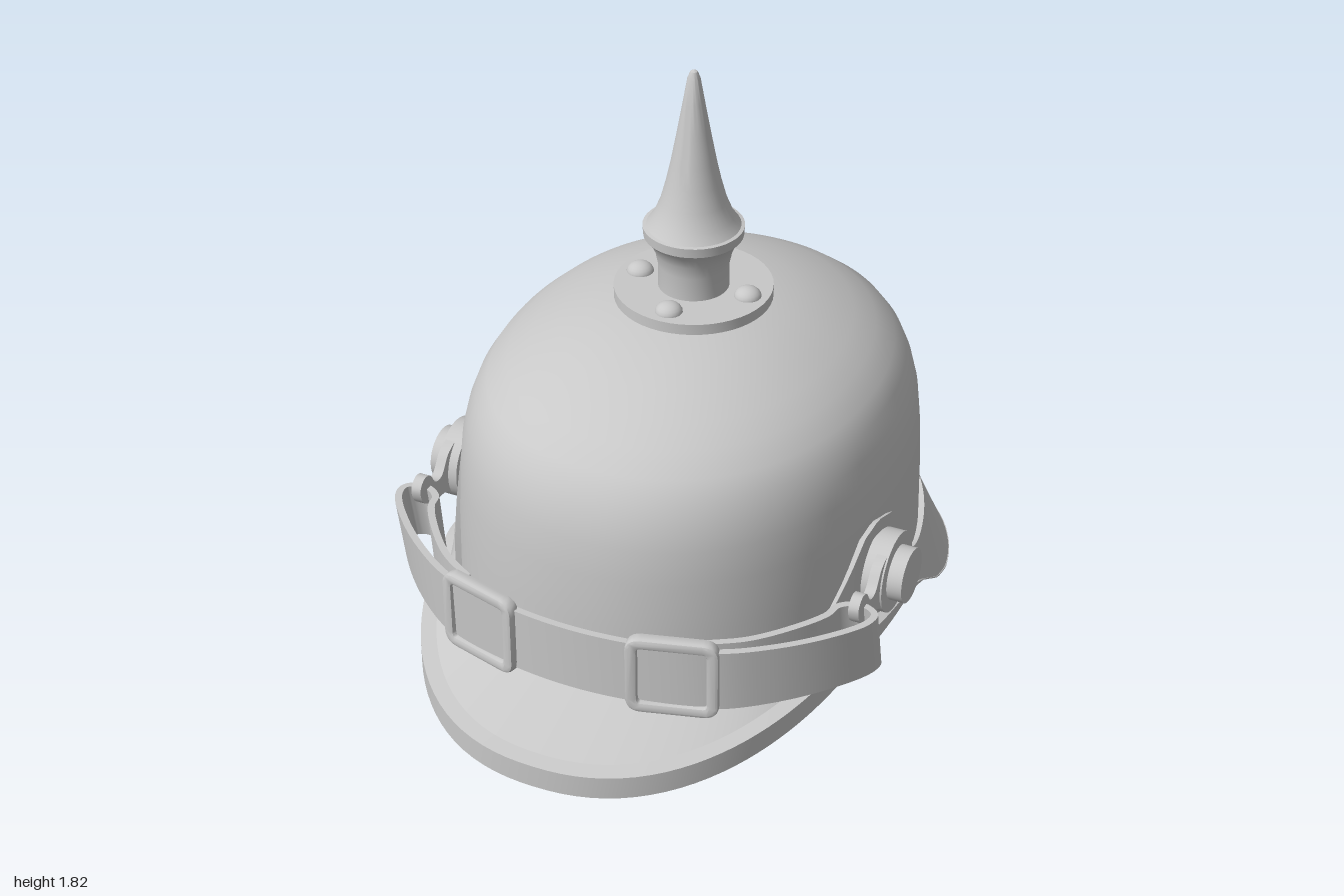
import * as THREE from 'three';
import { toCreasedNormals } from 'three/addons/utils/BufferGeometryUtils.js';

const steel = new THREE.MeshStandardMaterial({ color: 0xc8c8c8 });
steel.name = 'grey steel';

const SEG = 160;
const CZ = -0.045; // centre line of the dome and spike

// Piecewise-linear lookup in a table of [key, value] pairs
function lookup(table, k) {
  if (k <= table[0][0]) return table[0][1];
  for (let i = 1; i < table.length; i++) {
    const [k0, v0] = table[i - 1], [k1, v1] = table[i];
    if (k <= k1) return v0 + (v1 - v0) * (k - k0) / (k1 - k0);
  }
  return table[table.length - 1][1];
}

// Point on a squarish oval outline, in direction phi
function oval(phi, a, front, back, nFront, nBack) {
  const c = Math.cos(phi), s = Math.sin(phi);
  const b = s > 0 ? front : back, n = s > 0 ? nFront : nBack;
  const r = Math.pow(Math.pow(Math.abs(c) / a, n) + Math.pow(Math.abs(s) / b, n), -1 / n);
  return [r * c, CZ + r * s];
}

// Ring of points from a function of direction
function ring(fn) {
  return Array.from({ length: SEG }, (_, j) => fn(j / SEG * Math.PI * 2));
}

// Smooth skin through closed rings, facing out when the rings rise
function skin(rings) {
  const index = [];
  for (let i = 0; i < rings.length - 1; i++) {
    for (let j = 0; j < SEG; j++) {
      const k = (j + 1) % SEG;
      const a = i * SEG + j, b = i * SEG + k, c = a + SEG, d = b + SEG;
      index.push(a, c, b, b, c, d);
    }
  }
  const g = new THREE.BufferGeometry();
  g.setAttribute('position', new THREE.Float32BufferAttribute(rings.flat(2), 3));
  g.setIndex(index);
  g.computeVertexNormals();
  return g;
}

function add(parent, name, geometry) {
  const mesh = new THREE.Mesh(geometry, steel);
  mesh.name = name;
  parent.add(mesh);
  return mesh;
}

function lathe(points, segments = 40) {
  const g = new THREE.LatheGeometry(points.map(p => new THREE.Vector2(...p)), segments);
  return toCreasedNormals(g, 0.6);
}

function roundedRect(path, w, h, r) {
  path.moveTo(-w + r, -h);
  path.lineTo(w - r, -h).quadraticCurveTo(w, -h, w, -h + r);
  path.lineTo(w, h - r).quadraticCurveTo(w, h, w - r, h);
  path.lineTo(-w + r, h).quadraticCurveTo(-w, h, -w, h - r);
  path.lineTo(-w, -h + r).quadraticCurveTo(-w, -h, -w + r, -h);
  return path;
}

// Dome: outer and inner walls joined by a bottom edge
function buildDome(group) {
  const profile = [[0.265, 1], [0.5, 0.995], [0.65, 0.985], [0.75, 0.97], [0.82, 0.945], [0.88, 0.91],
    [0.93, 0.86], [0.98, 0.775], [1.02, 0.68], [1.06, 0.56], [1.09, 0.44], [1.115, 0.3], [1.127, 0.15], [1.13, 0.001]];
  const wall = (y, s, a, b) => ring(p => {
    const [x, z] = oval(p, a * s, b * s, b * s, 2.15, 2.12);
    return [x, y, z];
  });
  const outer = profile.map(([y, s]) => wall(y, s, 0.635, 0.768));
  const inner = profile.map(([y, s]) => wall(y - (1 - s) * 0.05, s, 0.582, 0.708)).reverse();
  add(group, 'domeOuter', skin(outer));
  add(group, 'domeInner', skin(inner));
  add(group, 'domeBottomEdge', skin([inner[inner.length - 1], outer[0]]));
}

// Brim: visor in front, raised ear flaps at the sides, neck guard behind
function buildBrim(group) {
  const bottomY = [[-1, 0], [-0.85, 0.005], [-0.7, 0.014], [-0.5, 0.055], [-0.36, 0.115], [-0.26, 0.18],
    [-0.2, 0.218], [-0.14, 0.238], [-0.07, 0.248], [0.25, 0.248], [1, 0.13]];
  const topY = [[-0.84, 0.33], [-0.25, 0.33], [-0.18, 0.345], [-0.12, 0.39], [-0.07, 0.48], [-0.03, 0.555],
    [0.03, 0.61], [0.12, 0.635], [0.19, 0.61], [0.25, 0.53], [0.3, 0.47], [0.36, 0.4], [0.42, 0.335], [0.75, 0.29]];
  const rimHeight = [[-0.2, 0.004], [0.3, 0.065], [1, 0.07]];
  // The rim's flat top narrows away towards the neck guard
  const edge = (inset, rim, crease = 0) => ring(p => {
    const [, zo] = oval(p, 0.67, 1.045, 0.955, 2.25, 2.75);
    const height = lookup(rimHeight, zo), d = inset + crease * height;
    const [x, z] = oval(p, 0.67 - d, 1.045 - d, 0.955 - d, 2.25, 2.75);
    return [x, lookup(bottomY, zo) + (rim + crease * 0.2) * height, z];
  });
  const attach = (inset, drop) => ring(p => {
    const [, zo] = oval(p, 0.65, 0.79, 0.795, 2.15, 2.12);
    const [x, z] = oval(p, 0.65 - inset, 0.79 - inset, 0.795 - inset, 2.15, 2.12);
    return [x, lookup(topY, zo) - drop, z];
  });
  const loops = [edge(0, 0), edge(0, 1), edge(0, 1, 0.65), attach(0, 0), attach(0.04, 0.03),
    edge(0.035, 0.1), edge(0, 0)];
  const names = ['brimOuterEdge', 'brimRimTop', 'brimTop', 'brimUpperLip', 'brimUnderside', 'brimBottomEdge'];
  names.forEach((name, i) => add(group, name, skin([loops[i], loops[i + 1]])));
}

// Spike on a riveted round base
function buildSpike(group) {
  const spike = new THREE.Group();
  spike.name = 'spike';
  spike.position.z = CZ;
  group.add(spike);
  add(spike, 'spikeBase', lathe([[0, 1.118], [0.224, 1.118], [0.224, 1.15], [0, 1.15]], 48));
  add(spike, 'spikeShaft', lathe([[0.1, 1.14], [0.1, 1.22], [0.108, 1.26], [0.122, 1.292], [0.14, 1.312],
    [0.142, 1.34], [0.132, 1.342], [0.112, 1.37], [0.092, 1.42], [0.076, 1.48], [0.063, 1.54], [0.046, 1.63],
    [0.03, 1.72], [0.018, 1.79], [0.01, 1.81], [0, 1.815]]));
  for (let i = 0; i < 4; i++) {
    const a = i * Math.PI / 2;
    const rivet = add(spike, 'rivet', new THREE.SphereGeometry(0.039, 20, 12));
    rivet.scale.y = 0.75;
    rivet.position.set(0.165 * Math.cos(a), 1.148, 0.165 * Math.sin(a));
  }
}

// Chin strap: a band looped back on itself at both ends
function buildStrap(group) {
  const half = [[0.36, 0.672], [0.46, 0.605], [0.55, 0.505], [0.612, 0.41], [0.625, 0.36], [0.68, 0.325],
    [0.728, 0.345], [0.725, 0.39], [0.65, 0.495], [0.53, 0.61], [0.4, 0.695], [0.2, 0.748]];
  const path = [...half, [0, 0.766], ...half.map(([x, z]) => [-x, z]).reverse()];
  const curve = new THREE.CatmullRomCurve3(path.map(([x, z]) => new THREE.Vector3(x, z, 0)), false, 'centripetal');
  const left = [], right = [];
  for (let i = 0; i <= 140; i++) {
    const p = curve.getPoint(i / 140), t = curve.getTangent(i / 140);
    left.push(new THREE.Vector2(p.x - t.y * 0.01, p.y + t.x * 0.01));
    right.push(new THREE.Vector2(p.x + t.y * 0.01, p.y - t.x * 0.01));
  }
  const g = new THREE.ExtrudeGeometry(new THREE.Shape([...left, ...right.reverse()]), { depth: 0.195, bevelEnabled: false });
  g.rotateX(Math.PI / 2).translate(0, 0.508, 0);
  // Lean the looped ends forward at the top
  const pos = g.attributes.position;
  for (let i = 0; i < pos.count; i++) {
    const lean = Math.pow(Math.abs(pos.getX(i)) / 0.735, 3) * 0.22;
    pos.setZ(i, pos.getZ(i) + (pos.getY(i) - 0.41) * lean);
  }
  add(group, 'chinStrap', toCreasedNormals(g, 0.7));
}

// Buckle and side fitting for one side (s = 1 left, -1 right)
function buildSide(group, s) {
  const frame = roundedRect(new THREE.Shape(), 0.12, 0.114, 0.035);
  frame.holes.push(roundedRect(new THREE.Path(), 0.104, 0.1, 0.022));
  const g = new THREE.ExtrudeGeometry(frame, { depth: 0.022, bevelEnabled: true, bevelSize: 0.009,
    bevelThickness: 0.009, bevelSegments: 2, curveSegments: 6 });
  const buckle = add(group, 'buckle', toCreasedNormals(g, 0.7));
  buckle.position.set(s * 0.288, 0.412, 0.72);
  buckle.rotation.y = s * 0.27;

  // Stepped boss, axis pointing outward
  const boss = add(group, 'sideBoss', lathe([[0, 0], [0.118, 0], [0.118, 0.062], [0.08, 0.062],
    [0.08, 0.106], [0, 0.106]]));
  boss.position.set(s * 0.635, 0.47, 0.115);
  boss.rotation.z = -s * Math.PI / 2;

  // Flat hooked link from the boss into the strap loop, drawn as (z, y)
  const outline = new THREE.Shape();
  outline.moveTo(0.17, 0.57);
  outline.splineThru([[0.225, 0.55], [0.265, 0.502], [0.305, 0.502], [0.335, 0.543], [0.37, 0.55],
    [0.395, 0.52], [0.375, 0.47], [0.31, 0.44], [0.25, 0.43], [0.17, 0.38]].map(p => new THREE.Vector2(...p)));
  const plate = new THREE.ExtrudeGeometry(outline, { depth: 0.03, bevelEnabled: false, curveSegments: 4 });
  plate.rotateY(-Math.PI / 2).translate(0.015, 0, 0);
  const link = add(group, 'strapLink', toCreasedNormals(plate, 0.6));
  link.position.x = s * 0.677;
}

export function createModel() {
  const group = new THREE.Group();
  group.name = 'spikedHelmet';
  buildDome(group);
  buildBrim(group);
  buildSpike(group);
  buildStrap(group);
  for (const s of [1, -1]) buildSide(group, s);
  return group;
}
